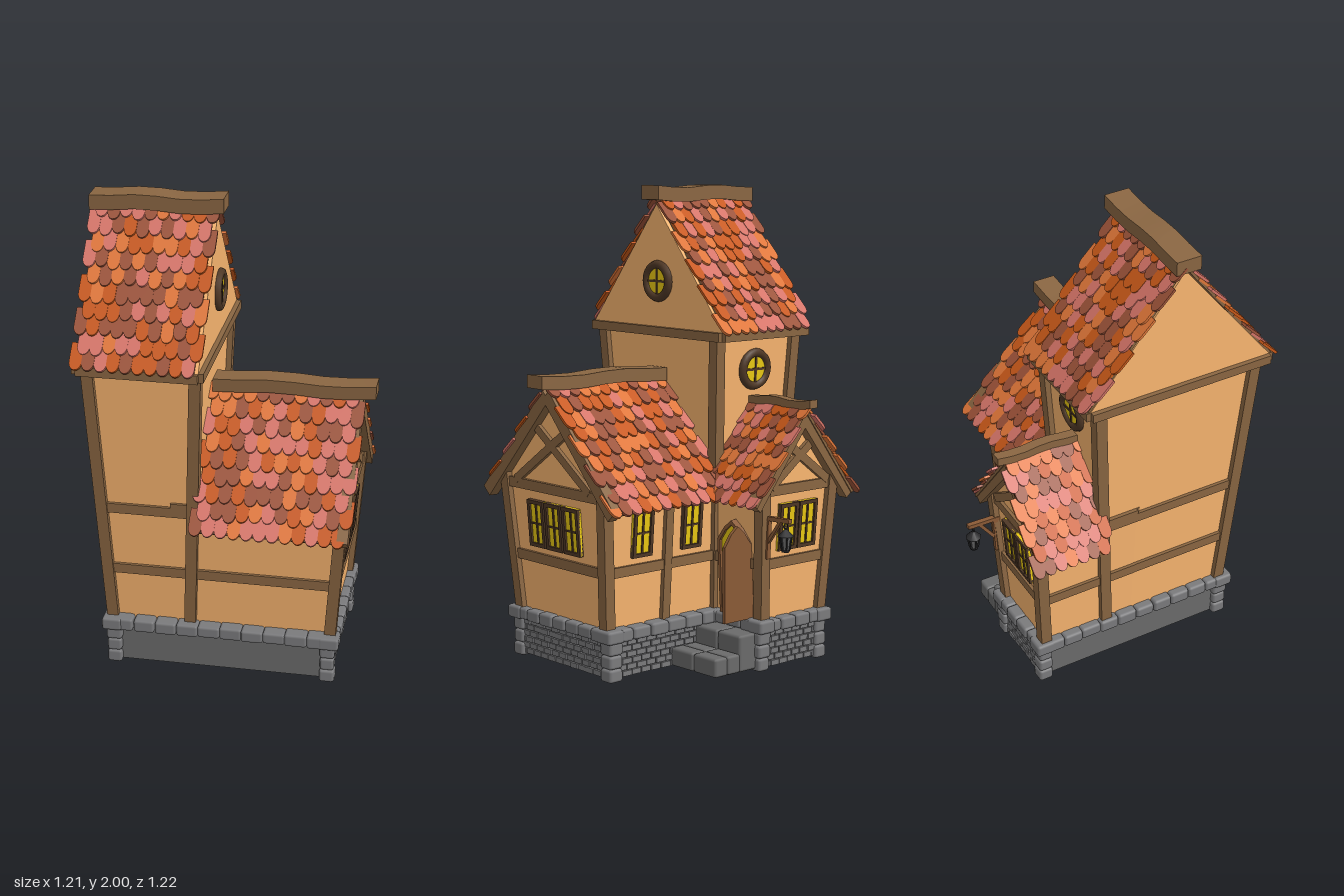
import * as THREE from 'three';
import { mergeGeometries } from 'three/addons/utils/BufferGeometryUtils.js';
import { RoundedBoxGeometry } from 'three/addons/geometries/RoundedBoxGeometry.js';

const mat = (color) => new THREE.MeshStandardMaterial({ color });
const WALL = mat(0xfab670), WOOD = mat(0x8a6642), DARK = mat(0x4f3826), GLASS = mat(0xeccb14);
const STONE = mat(0x7a7a7c), PLAIN = mat(0x6a6a6a), IRON = mat(0x2a2a2c), DOOR = mat(0x8a5a36);
const TILES = [0xc85818, 0xe07638, 0xd67468, 0x9c5238].map(mat);
const V = (x, y, z) => new THREE.Vector3(x, y, z);
let seed = 7;
const rnd = () => (seed = (seed * 16807) % 2147483647) / 2147483647;

function add(parent, name, geo, material, x = 0, y = 0, z = 0) {
  const m = new THREE.Mesh(geo, material);
  m.name = name;
  m.position.set(x, y, z);
  parent.add(m);
  return m;
}
const box = (parent, name, material, w, h, d, x, y, z) => add(parent, name, new THREE.BoxGeometry(w, h, d), material, x, y, z);

// Timber running from a to b, optionally wavy
function beam(parent, name, a, b, w, h = w, material = WOOD, wave = 0) {
  const len = a.distanceTo(b), geo = new THREE.BoxGeometry(w, h, len, 1, 1, wave ? 6 : 1);
  const p = geo.attributes.position;
  if (wave) for (let i = 0; i < p.count; i++) p.setY(i, p.getY(i) + wave * Math.cos(p.getZ(i) / len * 9 + 1));
  geo.computeVertexNormals();
  const m = add(parent, name, geo, material);
  m.position.copy(a).add(b).multiplyScalar(0.5);
  const up = Math.abs(b.y - a.y) > 0.9 * len ? V(0, 0, 1) : V(0, 1, 0);
  m.quaternion.setFromRotationMatrix(new THREE.Matrix4().lookAt(b, a, up));
}

// Flared body: rectangles [x0, x1, z0, z1] at two heights
const CORNERS = [[0, 2], [1, 2], [1, 3], [0, 3]];
function corner(body, i, y) {
  const t = (y - body.y0) / (body.y1 - body.y0);
  const at = (k) => THREE.MathUtils.lerp(body.low[k], body.high[k], t);
  return V(at(CORNERS[i][0]), y, at(CORNERS[i][1]));
}
function flaredHouse(parent, name, body, posts, postTop, rails) {
  const g = new THREE.Group();
  g.name = name;
  parent.add(g);
  const geo = new THREE.BoxGeometry(1, 1, 1), p = geo.attributes.position;
  for (let i = 0; i < p.count; i++) {
    const r = p.getY(i) < 0 ? body.low : body.high;
    p.setXYZ(i, r[p.getX(i) < 0 ? 0 : 1], p.getY(i) < 0 ? body.y0 : body.y1, r[p.getZ(i) < 0 ? 2 : 3]);
  }
  geo.computeVertexNormals();
  add(g, name + ' walls', geo, WALL);
  for (const i of posts) beam(g, 'corner post', corner(body, i, body.y0), corner(body, i, postTop), 0.048);
  for (const y of rails) for (let i = 0; i < 4; i++)
    beam(g, 'rail', corner(body, i, y), corner(body, (i + 1) % 4, y), 0.03, 0.042);
}

// Tongue-shaped tile with its rounded end down
function tileGeometry(w, len) {
  const s = new THREE.Shape(), r = w / 2, d = w * 0.68;
  s.moveTo(r, len).lineTo(-r, len).lineTo(-r, d);
  s.absellipse(0, d, r, d, Math.PI, Math.PI * 2, false);
  const g = new THREE.ExtrudeGeometry(s, { depth: 0.011, bevelEnabled: false, curveSegments: 8 });
  return g.rotateX(-0.13);
}

// Gabled roof with the ridge along local x; g0..g1 is the span of the gable wall
function roof(parent, name, o) {
  const g = new THREE.Group();
  g.name = name;
  g.position.set(o.x, 0, o.z);
  g.rotation.y = o.turn || 0;
  parent.add(g);
  const rise = o.ridge - o.eave, L = Math.hypot(rise, o.half), step = L / o.rows, w = o.len / o.cols;
  const shades = TILES.map(() => []), tile = tileGeometry(w * 1.02, step * 1.65), topTile = tileGeometry(w * 1.02, step * 1.1);
  for (const s of [1, -1]) {
    const u = V(s, 0, 0), v = V(0, rise / L, -s * o.half / L), n = u.clone().cross(v);
    const basis = new THREE.Matrix4().makeBasis(u, v, n);
    const slab = new THREE.BoxGeometry(o.len - 0.03, L - 0.04, 0.012).applyMatrix4(basis);
    add(g, 'roof boards', slab, WOOD, 0, (o.ridge + o.eave) / 2, s * o.half / 2);
    for (let r = 0; r < o.rows; r++) for (let c = 0; c < o.cols; c++) {
      const pos = V(0, o.eave, s * o.half).addScaledVector(v, r * step + (r ? (rnd() - 0.5) * 0.016 : 0))
        .addScaledVector(n, 0.012 + rnd() * 0.005)
        .addScaledVector(u, (c + 0.5 + (r % 2 ? 0.25 : -0.25)) * w - o.len / 2);
      shades[Math.floor(rnd() * 4)].push((r < o.rows - 1 ? tile : topTile).clone().applyMatrix4(basis.clone().setPosition(pos)));
    }
  }
  shades.forEach((list, i) => add(g, 'roof tiles', mergeGeometries(list), TILES[i]));
  // Gable wall
  const top = o.ridge - 0.02, side = Math.max(top - rise / o.half * o.wall, o.base) + 0.001;
  const shape = new THREE.Shape([[-o.wall, o.base], [o.wall, o.base], [o.wall, side], [0, top], [-o.wall, side]]
    .map((q) => new THREE.Vector2(...q)));
  const gable = new THREE.ExtrudeGeometry(shape, { depth: o.g1 - o.g0, bevelEnabled: false }).rotateY(Math.PI / 2);
  add(g, 'gable wall', gable, WALL, o.g0);
  // Ridge timber
  beam(g, 'ridge beam', V(o.r0, o.ridge + 0.02, 0), V(o.r1, o.ridge + 0.025, 0), o.ridgeW, o.ridgeH, WOOD, 0.006);
  // Verge boards and crossed braces
  if (o.braced) for (const s of [1, -1]) {
    beam(g, 'verge board', V(o.g1 + 0.02, o.eave + 0.01, s * (o.half - 0.02)), V(o.g1 + 0.02, o.ridge - 0.03, 0), 0.045, 0.055);
    beam(g, 'gable brace', V(o.g1 + 0.005, o.eave + 0.08, s * o.half * 0.56), V(o.g1 + 0.005, o.eave + rise * 0.65, -s * o.half * 0.24), 0.025, 0.036);
  }
}

function placed(parent, name, x, y, z, turn, lean = 0.08) {
  const g = new THREE.Group();
  g.name = name;
  g.position.set(x, y, z);
  g.rotation.set(lean, turn, 0, 'YXZ');
  parent.add(g);
  return g;
}
function casement(parent, x, y, z, turn, w = 0.105, h = 0.2) {
  const g = placed(parent, 'casement window', x, y, z, turn);
  box(g, 'glass', GLASS, w, h, 0.012, 0, 0, 0);
  for (const s of [-1, 1]) {
    box(g, 'frame side', DARK, 0.016, h, 0.03, s * (w / 2 - 0.008), 0, 0);
    box(g, 'frame end', DARK, w, 0.016, 0.03, 0, s * (h / 2 - 0.008), 0);
  }
  box(g, 'mullion', DARK, 0.009, h, 0.022, 0, 0, 0);
  box(g, 'glazing bar', DARK, w, 0.008, 0.02, 0, 0, 0);
}
function roundWindow(parent, x, y, z, turn, lean) {
  const g = placed(parent, 'round window', x, y, z, turn, lean);
  add(g, 'ring', new THREE.TorusGeometry(0.07, 0.019, 8, 24), DARK);
  add(g, 'glass', new THREE.CylinderGeometry(0.07, 0.07, 0.012, 24).rotateX(Math.PI / 2), GLASS);
  box(g, 'upright bar', DARK, 0.01, 0.14, 0.02, 0, 0, 0);
  box(g, 'cross bar', DARK, 0.14, 0.01, 0.02, 0, 0, 0);
}
function arch(w, side, peak) {
  return new THREE.Shape([[-w, 0], [w, 0], [w, side], [w * 0.5, (side + peak) / 2 + 0.01], [0, peak], [-w * 0.5, (side + peak) / 2 + 0.01], [-w, side]]
    .map((q) => new THREE.Vector2(...q)));
}

function foundation(parent) {
  const g = new THREE.Group();
  g.name = 'stone foundation';
  parent.add(g);
  box(g, 'main footing', PLAIN, 0.92, 0.19, 0.6, 0, 0.105, 0.15);
  box(g, 'rear footing', PLAIN, 0.34, 0.19, 0.28, -0.29, 0.105, -0.29);
  box(g, 'main floor', WALL, 0.9, 0.01, 0.58, 0, 0.013, 0.15);
  box(g, 'rear floor', WALL, 0.32, 0.01, 0.28, -0.29, 0.013, -0.28);
  const pts = [[-0.46, 0.45], [0.46, 0.45], [0.46, -0.15], [-0.12, -0.15], [-0.12, -0.43], [-0.46, -0.43]];
  const cap = [], bricks = [];
  pts.forEach(([x, z], i) => {
    const [x2, z2] = pts[(i + 1) % 6], len = Math.hypot(x2 - x, z2 - z), turn = Math.atan2(-(z2 - z), x2 - x);
    const lay = (list, geo, d, y) => list.push(geo.rotateY(turn).translate(x + (x2 - x) * d / len, y, z + (z2 - z) * d / len));
    // Capping course
    const n = Math.round(len / 0.09);
    for (let k = 0; k < n; k++) lay(cap, new RoundedBoxGeometry(len / n * (0.95 + rnd() * 0.1), 0.05 + rnd() * 0.008, 0.07 + rnd() * 0.012, 1, 0.012), (k + 0.5) * len / n, 0.19);
    // Corner stones
    if (i !== 3) for (let k = 0; k < 3; k++) {
      const s = 0.058 + rnd() * 0.012;
      cap.push(new RoundedBoxGeometry(s, 0.056, s, 1, 0.012).translate(x * 0.985, 0.028 + k * 0.056, z * 0.985));
    }
    cap.push(new RoundedBoxGeometry(0.085, 0.056, 0.085, 1, 0.012).translate(x, 0.19, z));
    // Brick courses
    if ([1, 2, 4].includes(i)) for (let r = 0; r < 6; r++) {
      const m = Math.round(len / 0.052);
      for (let k = 0; k < m - (r % 2); k++)
        lay(bricks, new THREE.BoxGeometry(len / m - 0.005, 0.022, 0.014 + rnd() * 0.012), (k + (r % 2 ? 1 : 0.5)) * len / m, 0.024 + r * 0.026);
    }
  });
  add(g, 'capping and corner stones', mergeGeometries(cap), STONE);
  add(g, 'bricks', mergeGeometries(bricks), STONE);
  // Door steps
  for (const z of [-0.36, -0.22]) {
    for (const x of [0.03, 0.1]) add(g, 'lower step', new RoundedBoxGeometry(0.072, 0.08, 0.138, 1, 0.012), PLAIN, x, 0.05, z);
    add(g, 'upper step', new RoundedBoxGeometry(0.13, 0.155, 0.138, 1, 0.012), PLAIN, -0.065, 0.0875, z);
  }
}

function lantern(parent) {
  const g = placed(parent, 'lantern', -0.12, 0, -0.57, 0, 0);
  beam(g, 'bracket back', V(0, 0.48, 0.108), V(0, 0.66, 0.1), 0.02, 0.02, DOOR);
  beam(g, 'bracket arm', V(0, 0.65, 0.13), V(0, 0.655, -0.025), 0.022, 0.018, DOOR);
  beam(g, 'bracket strut', V(0, 0.55, 0.1), V(0, 0.645, 0.03), 0.014, 0.014, DOOR);
  add(g, 'hook', new THREE.TorusGeometry(0.011, 0.003, 5, 10), IRON, 0, 0.632, 0);
  add(g, 'cap', new THREE.CylinderGeometry(0.006, 0.034, 0.03, 8), IRON, 0, 0.605, 0);
  add(g, 'lamp glass', new THREE.CylinderGeometry(0.024, 0.016, 0.055, 6), PLAIN, 0, 0.563, 0);
  add(g, 'lamp base', new THREE.CylinderGeometry(0.02, 0.016, 0.012, 6), IRON, 0, 0.531, 0);
  for (let i = 0; i < 6; i++) {
    const a = i * Math.PI / 3, c = Math.cos(a), s = Math.sin(a);
    beam(g, 'lamp bar', V(0.017 * c, 0.535, 0.017 * s), V(0.026 * c, 0.592, 0.026 * s), 0.006, 0.006, IRON);
  }
}

export function createModel() {
  const model = new THREE.Group();
  model.name = 'timber house';
  foundation(model);

  // Tower, side wing and rear wing
  flaredHouse(model, 'tower', { y0: 0.2, y1: 1.39, low: [-0.46, -0.13, -0.13, 0.43], high: [-0.52, -0.08, -0.2, 0.52] }, [0, 1, 2, 3], 1.38, [0.45, 0.74]);
  flaredHouse(model, 'side wing', { y0: 0.2, y1: 0.74, low: [-0.2, 0.46, -0.13, 0.43], high: [-0.2, 0.5, -0.165, 0.47] }, [1, 2], 0.81, [0.45, 0.76]);
  flaredHouse(model, 'rear wing', { y0: 0.2, y1: 0.74, low: [-0.46, -0.13, -0.42, 0], high: [-0.49, -0.1, -0.455, 0] }, [0, 1], 0.8, [0.45, 0.76]);
  const eaves = { y0: 1, y1: 2, low: [-0.55, -0.06, -0.25, 0.57], high: [-0.55, -0.06, -0.25, 0.57] };
  for (let i = 0; i < 4; i++) beam(model, 'tower eaves beam', corner(eaves, i, 1.382), corner(eaves, (i + 1) % 4, 1.382), 0.04, 0.038);
  beam(model, 'rear wall post', V(0.16, 0.2, -0.13), V(0.16, 0.8, -0.168), 0.04);

  // Roofs
  roof(model, 'tower roof', { x: -0.31, z: 0.16, len: 0.5, ridge: 1.94, eave: 1.382, half: 0.43, rows: 10, cols: 10, g0: -0.24, g1: 0.25, wall: 0.42, base: 1.39, r0: -0.262, r1: 0.285, ridgeW: 0.11, ridgeH: 0.06 });
  roof(model, 'side wing roof', { x: 0.225, z: 0.16, len: 0.63, ridge: 1.185, eave: 0.695, half: 0.435, rows: 9, cols: 12, g0: -0.31, g1: 0.275, wall: 0.315, base: 0.735, r0: -0.3, r1: 0.372, ridgeW: 0.1, ridgeH: 0.055, braced: true });
  roof(model, 'rear wing roof', { x: -0.3, z: -0.345, turn: Math.PI / 2, len: 0.35, ridge: 1.085, eave: 0.695, half: 0.295, rows: 8, cols: 7, g0: -0.185, g1: 0.112, wall: 0.195, base: 0.735, r0: -0.17, r1: 0.2, ridgeW: 0.045, ridgeH: 0.035, braced: true });

  // Windows
  for (const z of [0.275, 0.16, 0.045]) casement(model, 0.495, 0.6, z, Math.PI / 2);
  for (const x of [0.3, 0.03]) casement(model, x, 0.6, -0.16, Math.PI);
  for (const x of [-0.355, -0.245]) casement(model, x, 0.6, -0.45, Math.PI);
  roundWindow(model, -0.055, 1.595, 0.145, Math.PI / 2, 0);
  roundWindow(model, -0.3, 1.23, -0.195, Math.PI, 0.06);

  // Doorway with its leaf standing open
  const doorway = placed(model, 'doorway', -0.125, 0.21, -0.295, Math.PI / 2, 0.055);
  const surround = arch(0.088, 0.325, 0.415);
  surround.holes.push(arch(0.073, 0.32, 0.395));
  add(doorway, 'door frame', new THREE.ExtrudeGeometry(surround, { depth: 0.03, bevelEnabled: false }), DOOR);
  add(doorway, 'lit opening', new THREE.ExtrudeGeometry(arch(0.076, 0.32, 0.4), { depth: 0.018, bevelEnabled: false }), GLASS);
  const leaf = placed(model, 'open door', -0.03, 0.215, -0.383, 0, 0);
  add(leaf, 'door leaf', new THREE.ExtrudeGeometry(arch(0.072, 0.32, 0.4), { depth: 0.015, bevelEnabled: false }), DOOR);
  lantern(model);
  return model;
}
